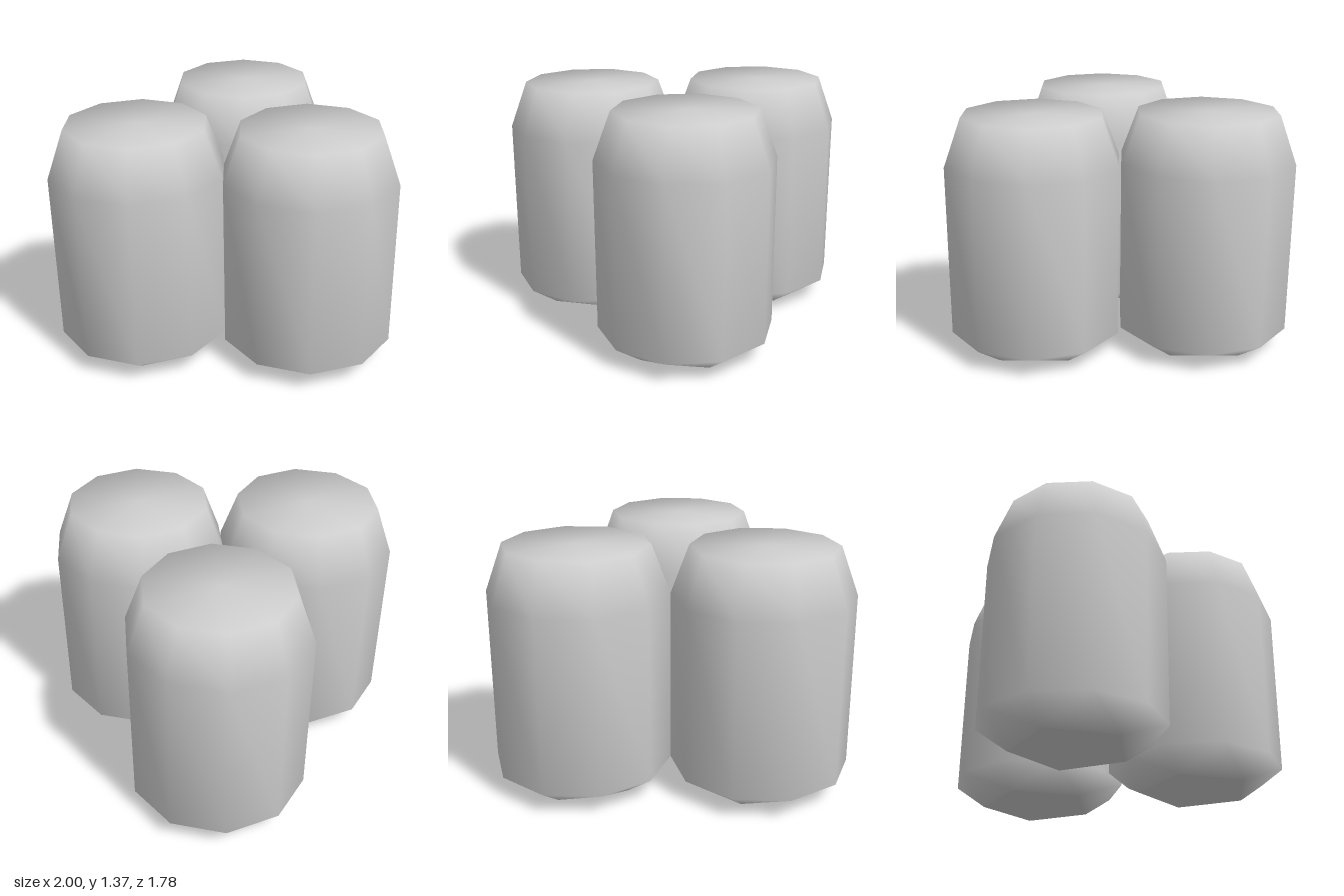
import * as THREE from 'three';

const SIDES = 10;

// Ring of n points at height y, with a corner on +x
function ring(n, r, y) {
  return Array.from({ length: n }, (_, i) => {
    const a = (i / n) * Math.PI * 2;
    return [r * Math.cos(a), y, r * Math.sin(a)];
  });
}

function build(points, index) {
  const g = new THREE.BufferGeometry();
  g.setAttribute('position', new THREE.Float32BufferAttribute(points.flat(), 3));
  g.setIndex(index);
  g.computeVertexNormals();
  return g;
}

// Ten-sided body with tapered shoulder and a lower bevel closing to five corners
function bodyGeometry() {
  const points = [
    ...ring(SIDES, 0.5, 0.12),
    ...ring(SIDES, 0.5, 1.1),
    ...ring(SIDES, 0.4, 1.37),
    ...ring(SIDES / 2, 0.33, 0),
    [0, 1.37, 0],
  ];
  const foot = SIDES * 3;
  const centre = points.length - 1;
  const index = [];
  for (let i = 0; i < SIDES; i++) {
    const j = (i + 1) % SIDES;
    // wall and shoulder
    for (const lo of [0, SIDES]) {
      const up = lo + SIDES;
      index.push(lo + i, up + i, up + j, lo + i, up + j, lo + j);
    }
    // rounded-over top
    index.push(centre, SIDES * 2 + j, SIDES * 2 + i);
  }
  // lower bevel
  for (let k = 0; k < SIDES / 2; k++) {
    const p = foot + k;
    const q = foot + ((k + 1) % (SIDES / 2));
    const a = 2 * k, b = a + 1, c = (a + 2) % SIDES;
    index.push(p, a, b, p, b, q, q, b, c);
  }
  return build(points, index);
}

// Flat five-sided underside
function baseGeometry() {
  return build(ring(5, 0.33, 0), [0, 1, 2, 0, 2, 3, 0, 3, 4]);
}

export function createModel() {
  const model = new THREE.Group();
  model.name = 'barrelCluster';
  const grey = new THREE.MeshStandardMaterial({ color: 0xcccccc });
  grey.name = 'lightGrey';

  const body = bodyGeometry();
  const base = baseGeometry();
  const places = [
    ['frontBarrel', -0.01, 0.41],
    ['backLeftBarrel', 0.5, -0.415],
    ['backRightBarrel', -0.5, -0.415],
  ];
  for (const [name, x, z] of places) {
    const barrel = new THREE.Group();
    barrel.name = name;
    const bodyMesh = new THREE.Mesh(body, grey);
    bodyMesh.name = 'body';
    const baseMesh = new THREE.Mesh(base, grey);
    baseMesh.name = 'underside';
    barrel.add(bodyMesh, baseMesh);
    barrel.position.set(x, 0, z);
    model.add(barrel);
  }
  return model;
}
